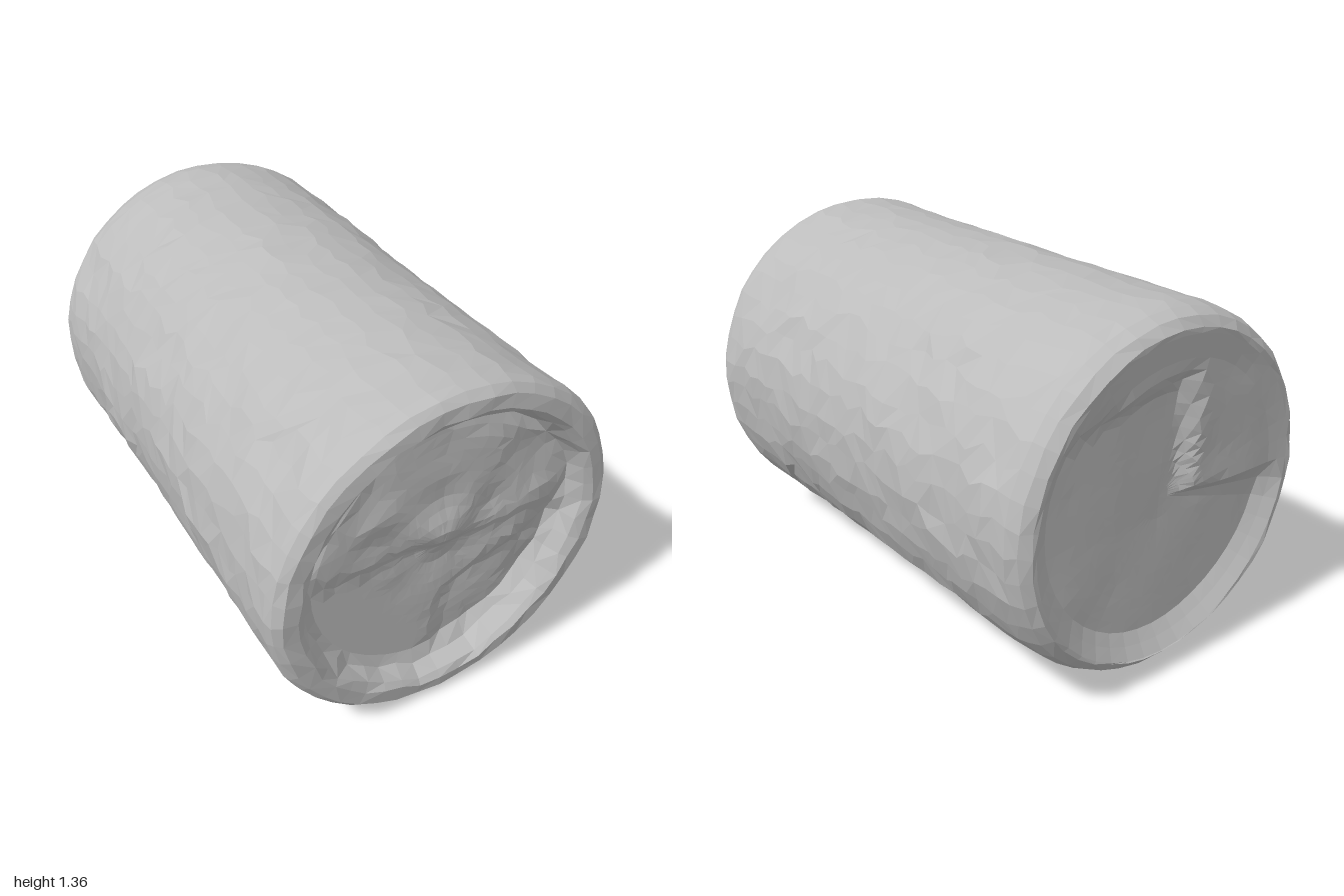
import * as THREE from 'three';

const SEG = 44, CY = 0.68;

// Repeatable noise in -1..1
function hash(a, b, c = 0) {
  const s = Math.sin(a * 127.1 + b * 311.7 + c * 74.7) * 43758.5453;
  return (s - Math.floor(s)) * 2 - 1;
}
// Soft lumps over a plane
function lumps(x, y, size) {
  const u = x / size, v = y / size, i = Math.floor(u), j = Math.floor(v);
  const lerp = THREE.MathUtils.lerp;
  const row = (k) => lerp(hash(i, k, 20), hash(i + 1, k, 20), u - i);
  return lerp(row(j), row(j + 1), v - j);
}
const smooth = THREE.MathUtils.smoothstep;
const bump = (x, y, cx, cy, w) => Math.exp(-((x - cx) ** 2 + (y - cy) ** 2) / (w * w));

// Skins a stack of rings, point(i, j) giving each corner; faces are flat
function skin(name, rows, point, material) {
  const pos = [];
  const at = (i, j) => point(i, j % SEG);
  const tri = (...pts) => pts.forEach((p) => pos.push(p.x, p.y, p.z));
  for (let i = 0; i < rows - 1; i++) {
    for (let j = 0; j < SEG; j++) {
      const a = at(i, j), b = at(i + 1, j), c = at(i + 1, j + 1), d = at(i, j + 1);
      if (hash(i, j, 9) > 0) tri(a, b, c, a, c, d);
      else tri(a, b, d, b, c, d);
    }
  }
  const geo = new THREE.BufferGeometry();
  geo.setAttribute('position', new THREE.Float32BufferAttribute(pos, 3));
  geo.computeVertexNormals();
  const mesh = new THREE.Mesh(geo, material);
  mesh.name = name;
  return mesh;
}

// Outer surface: hewn sides with long grain and a hollow along the underside
function barkPoint(r, z, i, j, rough) {
  const t = ((j + 0.25 * rough * hash(i, j, 1)) / SEG) * Math.PI * 2;
  const s = Math.sin(t);
  const under = smooth(-s, 0.5, 0.95);
  const grain = 0.6 * hash(Math.floor(i / 4), j, 2) + 0.4 * hash(i, j, 3);
  const calm = (1 - under) * (1 - 0.6 * smooth(s, 0.75, 1));
  const radius = r + rough * calm * (0.011 * grain - 0.003);
  const hollow = under * (0.05 * smooth(-z, -0.95, 0.35) - 0.032 * smooth(-z, 0.4, 0.9));
  const zz = z + rough * 0.015 * hash(i, j, 4);
  return new THREE.Vector3(radius * Math.cos(t), CY + (radius - hollow) * s, zz);
}

// Carved relief on the front: brow ledge, central knob, curved groove at lower left
function frontRelief(x, y) {
  const upper = 0.02 * smooth(y, 0.66, 0.74);
  const edge = 0.3 + 0.3 * Math.sqrt(Math.max(x, 0)) + 0.15 * x;
  const groove = 0.025 * smooth(x, -0.02, 0.07) * smooth(edge + 0.05 - y, -0.04, 0.05);
  const band = 0.02 * bump(x, y, 0.38, 0.64, 0.15);
  const rough = 0.014 * smooth(y + x, 0.25, 0.6) * lumps(x, y, 0.1);
  return upper - groove + band + rough + 0.035 * bump(x, y, 0, 0.78, 0.08);
}

// Back hollow: the lower half plus a pocket on the left side, under a flush upper slab
function backRelief(x, y) {
  const v = y - CY;
  const lower = smooth(0.02 + 0.16 * x - v, -0.03, 0.03);
  const pocket = smooth(x, -0.13, -0.06) * smooth(0.42 - 0.2 * x - v, -0.04, 0.04);
  return 0.045 * Math.max(lower, pocket) + 0.006 * lumps(x, y, 0.2);
}

export function createModel() {
  const grey = new THREE.MeshStandardMaterial({ color: 0xbcbcbc });
  grey.name = 'grey';
  const group = new THREE.Group();
  group.name = 'hewnLog';

  // Body stations from front edge to back edge: [radius, z]
  const stations = [[0.643, 0.99], [0.67, 0.965], [0.68, 0.93], [0.677, 0.87]];
  for (let k = 0; k < 25; k++) stations.push([0.674 - k * 0.0003, 0.79 - k * 0.0663]);
  stations.push([0.665, -0.87], [0.657, -0.92], [0.638, -0.965], [0.605, -0.993]);
  const last = stations.length - 1;
  const body = (i, j) => {
    const rough = i < 2 || i > last - 3 ? 0.3 : i < 4 ? 0.6 : 1;
    return barkPoint(...stations[i], i, j, rough);
  };
  group.add(skin('barkBody', stations.length, body, grey));

  // Raised front rim and its inner wall, with an uneven inner edge
  const rimR = [0.54, 0.57, 0.595, 0.643];
  const rimZ = [0.92, 0.975, 0.995, 0.99];
  const rim = (i, j) => {
    if (i === 3) return body(0, j);
    const t = (j / SEG) * Math.PI * 2;
    const r = rimR[i] + 0.012 * hash(Math.floor(j / 4), 5) + 0.008 * hash(i, j, 6);
    return new THREE.Vector3(r * Math.cos(t), CY + r * Math.sin(t), rimZ[i] + (i ? 0.004 : 0.008) * hash(i, j, 7));
  };
  group.add(skin('frontRim', 4, rim, grey));

  // Sunken carved front
  const FRONT = 13;
  const carving = (i, j) => {
    if (i === FRONT - 1) return rim(0, j);
    const t = ((j + 0.3 * hash(i, j, 8)) / SEG) * Math.PI * 2;
    const r = (i / (FRONT - 1)) * 0.54;
    const x = r * Math.cos(t), y = CY + r * Math.sin(t);
    return new THREE.Vector3(x, y, 0.905 + frontRelief(x, y));
  };
  group.add(skin('frontCarving', FRONT, carving, grey));

  // Back end: the outer edge, then rings running in to the centre
  const BACK = 16;
  const back = (i, j) => {
    if (i === 0) return body(last, j);
    const t = (j / SEG) * Math.PI * 2;
    const r = 0.585 * (1 - (i - 1) / (BACK - 2));
    const x = r * Math.cos(t), y = CY + r * Math.sin(t);
    const inside = smooth(0.585 - r, 0, 0.08);
    return new THREE.Vector3(x, y, -0.992 + inside * (0.012 + backRelief(x, y)));
  };
  group.add(skin('backEnd', BACK, back, grey));

  return group;
}
